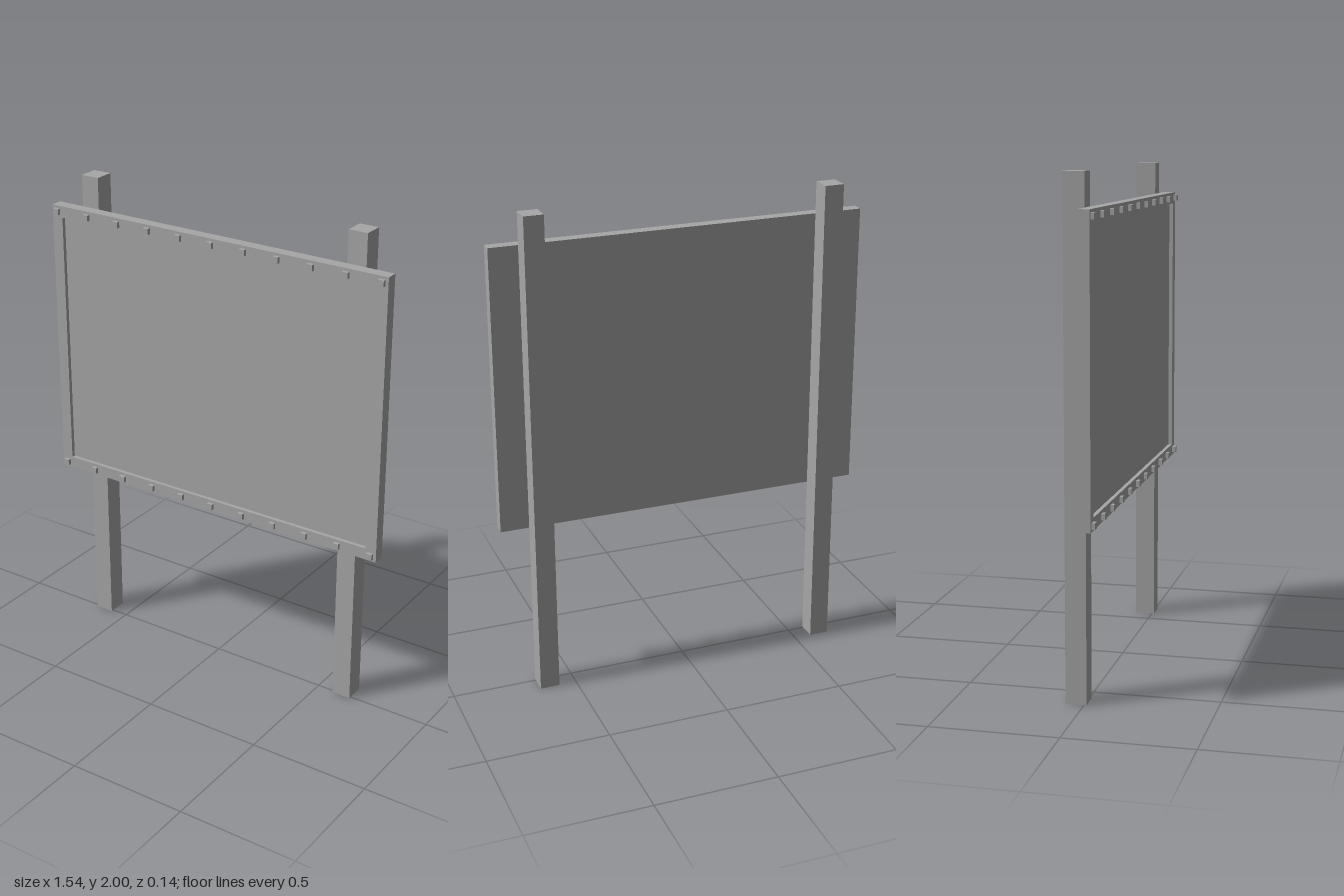
import * as THREE from 'three';

export function createModel() {
  const group = new THREE.Group();
  group.name = 'billboard';
  const grey = new THREE.MeshStandardMaterial({ color: 0xa6a6a6 });
  grey.name = 'grey';

  const add = (name, geometry, x, y, z) => {
    const mesh = new THREE.Mesh(geometry, grey);
    mesh.name = name;
    mesh.position.set(x, y, z);
    group.add(mesh);
  };

  // Board dimensions
  const width = 1.54, height = 1.17, border = 0.048;
  const centreY = 1.285, backZ = 0.01, frontZ = 0.058, recessZ = 0.042;

  // Two square posts behind the board
  const postGeometry = new THREE.BoxGeometry(0.08, 2, 0.082);
  add('rightPost', postGeometry, -0.612, 1, -0.031);
  add('leftPost', postGeometry, 0.612, 1, -0.031);

  // Backing panel, its front face forming the recess
  add('panel', new THREE.BoxGeometry(width, height, recessZ - backZ), 0, centreY, (backZ + recessZ) / 2);

  // Raised frame around the recess
  const rectangle = (path, w, h) => path
    .moveTo(-w / 2, -h / 2).lineTo(w / 2, -h / 2).lineTo(w / 2, h / 2).lineTo(-w / 2, h / 2).closePath();
  const outline = rectangle(new THREE.Shape(), width, height);
  outline.holes.push(rectangle(new THREE.Path(), width - 2 * border, height - 2 * border));
  const frame = new THREE.ExtrudeGeometry(outline, { depth: frontZ - recessZ, bevelEnabled: false });
  add('frame', frame, 0, centreY, recessZ);

  // Rows of square studs along the top and bottom rails
  const studGeometry = new THREE.BoxGeometry(0.025, 0.025, 0.016);
  for (const y of [0.723, 1.846]) {
    for (let i = 0; i < 11; i++) {
      add('stud', studGeometry, -0.745 + i * 0.149, y, 0.064);
    }
  }
  return group;
}
